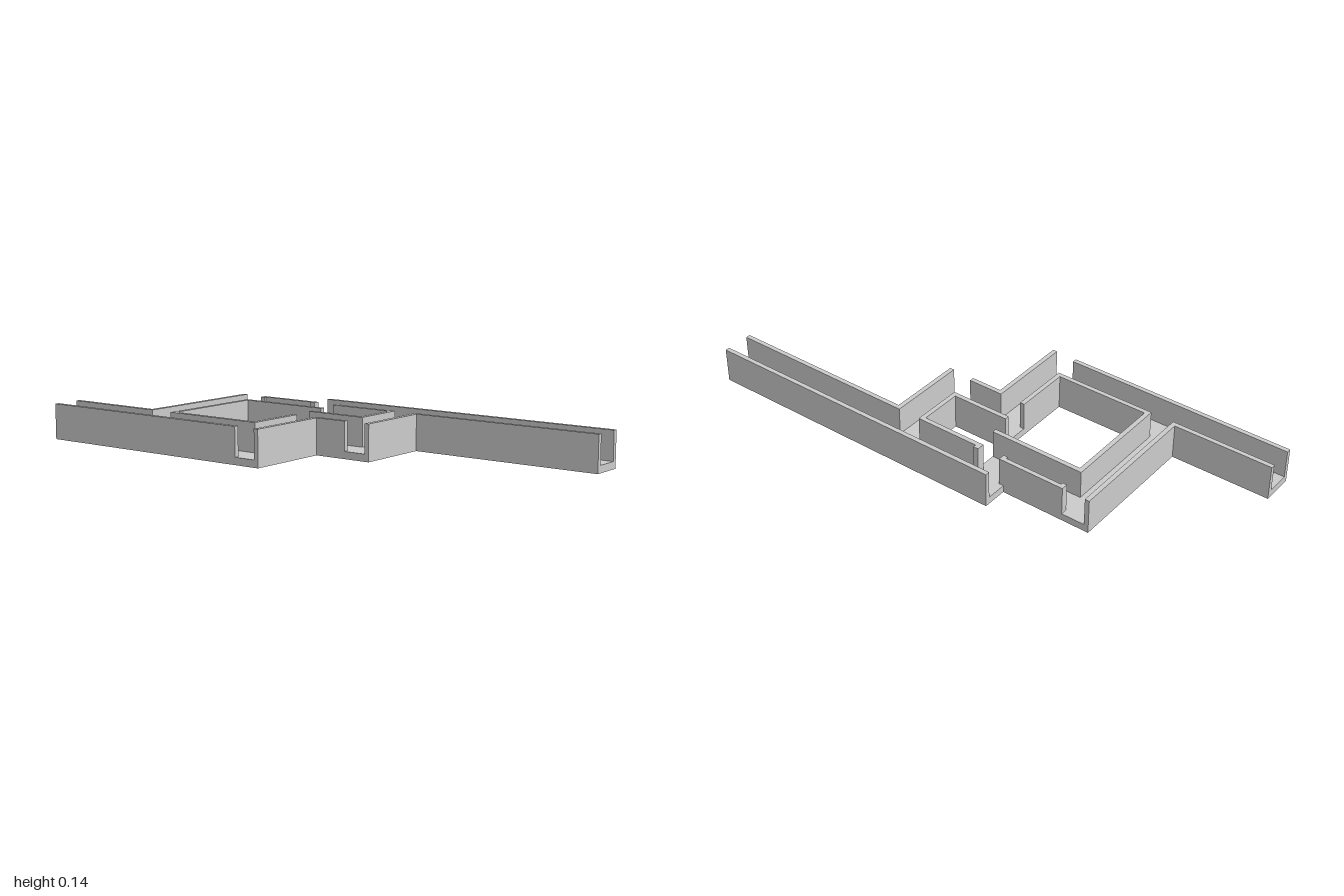
import * as THREE from 'three';

const FLOOR = 0.028;   // floor thickness
const HEIGHT = 0.138;  // top of the walls

export function createModel() {
  const group = new THREE.Group();
  group.name = 'channelMaze';
  const material = new THREE.MeshStandardMaterial({ color: 0xcccccc });

  const plan = (pts) => pts.map(([x, z]) => new THREE.Vector2(x, -z));
  const rect = (x0, x1, z0, z1) => [[x0, z0], [x1, z0], [x1, z1], [x0, z1]];

  // Upright prism from a plan outline of [x, z] corners
  function prism(name, pts, y0, y1, hole) {
    const shape = new THREE.Shape(plan(pts));
    if (hole) shape.holes.push(new THREE.Path(plan(hole)));
    const geo = new THREE.ExtrudeGeometry(shape, { depth: y1 - y0, bevelEnabled: false });
    geo.rotateX(-Math.PI / 2).translate(0, y0, 0);
    const mesh = new THREE.Mesh(geo, material);
    mesh.name = name;
    group.add(mesh);
  }

  // Floor of all the channels, with the stepped courtyard cut out
  prism('floor', [
    [-1, 0.378], [0.016, 0.378], [0.016, 0.047], [0.25, 0.047], [0.25, -0.25], [1, -0.25],
    [1, -0.378], [-0.248, -0.378], [-0.248, -0.28], [-0.608, -0.28], [-0.608, 0.25], [-1, 0.25],
  ], 0, FLOOR, [
    [-0.48, 0.25], [-0.107, 0.25], [-0.107, -0.082], [0.123, -0.082],
    [0.123, -0.25], [-0.117, -0.25], [-0.117, -0.152], [-0.48, -0.152],
  ]);

  // Walls, leaving the channel ends and junctions open
  const walls = {
    frontWall: rect(-1, -0.089, 0.36, 0.378),
    backWall: rect(-0.248, 1, -0.378, -0.36),
    outerRightWall: [
      [-1, 0.25], [-0.608, 0.25], [-0.608, -0.28], [-0.59, -0.28], [-0.59, 0.268], [-1, 0.268],
    ],
    courtyardWall: [
      [-0.117, -0.152], [-0.48, -0.152], [-0.48, 0.25], [-0.107, 0.25], [-0.107, 0.029],
      [-0.089, 0.029], [-0.089, 0.268], [-0.498, 0.268], [-0.498, -0.17], [-0.117, -0.17],
    ],
    frontStepWall: [
      [0.016, 0.378], [0.016, 0.047], [0.142, 0.047], [0.142, 0.029], [-0.002, 0.029], [-0.002, 0.378],
    ],
    outerLeftWall: [
      [0.25, 0.047], [0.25, -0.25], [1, -0.25], [1, -0.268], [0.232, -0.268], [0.232, 0.047],
    ],
    backStepWall: [
      [-0.107, -0.082], [0.123, -0.082], [0.123, -0.25], [-0.137, -0.25], [-0.137, -0.28],
      [-0.117, -0.28], [-0.117, -0.268], [0.141, -0.268], [0.141, -0.064], [-0.107, -0.064],
    ],
    shortBackWall: [
      [-0.498, -0.28], [-0.23, -0.28], [-0.23, -0.254], [-0.248, -0.254],
      [-0.248, -0.263], [-0.48, -0.263], [-0.48, -0.254], [-0.498, -0.254],
    ],
  };
  for (const [name, pts] of Object.entries(walls)) prism(name, pts, FLOOR, HEIGHT);

  return group;
}
